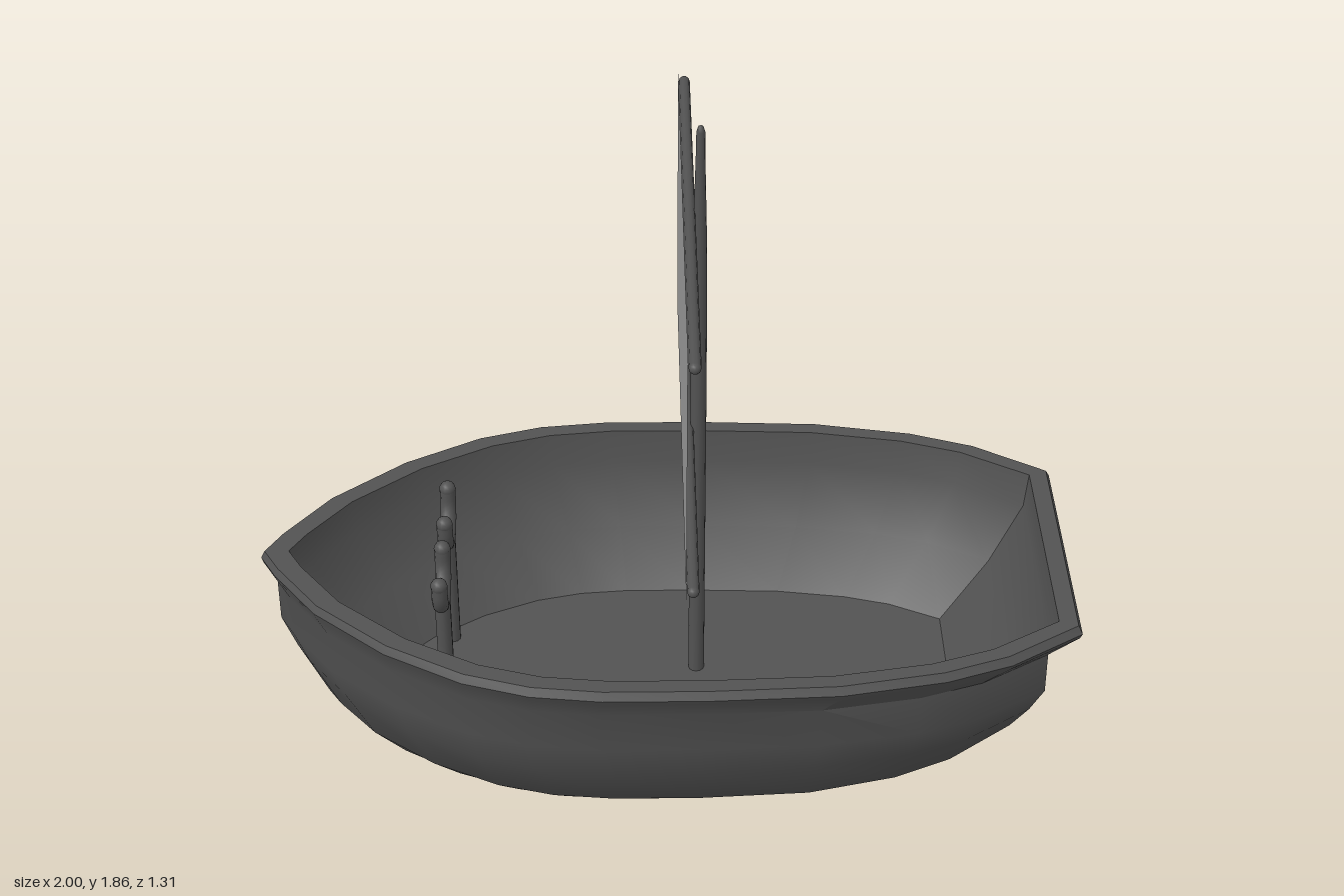
import * as THREE from 'three';
import { toCreasedNormals } from 'three/addons/utils/BufferGeometryUtils.js';

const wood = new THREE.MeshStandardMaterial({ name: 'dark wood', color: 0x525252 });
const cloth = new THREE.MeshStandardMaterial({ name: 'sail cloth', color: 0x999999, side: THREE.DoubleSide });

// Plan outline of the boat: [position from bow (-1) to stern (1), relative half width]
const OUTLINE = [
  [-1, 0], [-0.96, 0.13], [-0.85, 0.4], [-0.67, 0.68], [-0.48, 0.875], [-0.32, 0.965], [-0.15, 1],
  [0.1, 1], [0.41, 0.975], [0.66, 0.89], [0.82, 0.785], [1, 0.58],
];

// Hull rings from the floor's centre line, up over the rim and down to the keel:
// [half width, stern half width, bow x, stern x, bow y, middle y, stern y]
const RINGS = [
  [0, 0, -0.7, 0.725, 0.3, 0.3, 0.3],
  [0.315, 0.185, -0.7, 0.725, 0.3, 0.3, 0.3],
  [0.44, 0.25, -0.82, 0.85, 0.44, 0.42, 0.44],
  [0.5, 0.29, -0.92, 0.935, 0.59, 0.59, 0.59],
  [0.51, 0.3, -0.93, 0.945, 0.68, 0.68, 0.68],
  [0.55, 0.318, -0.99, 0.99, 0.68, 0.68, 0.68],
  [0.562, 0.326, -1, 1, 0.66, 0.66, 0.66],
  [0.555, 0.322, -0.995, 0.995, 0.645, 0.645, 0.645],
  [0.522, 0.31, -0.965, 0.925, 0.585, 0.585, 0.585],
  [0.515, 0.315, -0.965, 0.925, 0.47, 0.47, 0.475],
  [0.485, 0.295, -0.93, 0.895, 0.38, 0.37, 0.4],
  [0.41, 0.24, -0.86, 0.86, 0.23, 0.22, 0.3],
  [0.29, 0.14, -0.78, 0.8, 0.13, 0.11, 0.2],
  [0, 0, -0.66, 0.77, 0.06, 0.002, 0.15],
];

function ringPoints([w, sternW, x0, x1, yBow, yMid, yStern]) {
  const side = OUTLINE.map(([u, f]) => {
    const aft = Math.max(0, u) ** 3, fore = Math.max(0, -u) ** 3;
    const taper = w ? 1 + (sternW / (w * 0.58) - 1) * aft : 0;
    return new THREE.Vector3(
      x0 + (x1 - x0) * (u + 1) / 2,
      yMid + (yBow - yMid) * fore + (yStern - yMid) * aft,
      w * f * taper,
    );
  });
  const mirrored = side.slice(1).map((p) => new THREE.Vector3(p.x, p.y, -p.z));
  return [...side.reverse(), ...mirrored];
}

// Closed rings joined in order; the closing strip forms the transom
function hullGeometry() {
  const rings = RINGS.map(ringPoints);
  const pos = [];
  const face = (...pts) => {
    if (new THREE.Triangle(...pts).getArea() > 1e-7) pts.forEach((p) => pos.push(p.x, p.y, p.z));
  };
  for (let j = 0; j < rings.length - 1; j++) {
    const n = rings[j].length;
    for (let i = 0; i < n; i++) {
      const k = (i + 1) % n;
      const a = rings[j][i], b = rings[j][k], c = rings[j + 1][k], d = rings[j + 1][i];
      face(a, b, d);
      face(b, c, d);
    }
  }
  const g = new THREE.BufferGeometry();
  g.setAttribute('position', new THREE.Float32BufferAttribute(pos, 3));
  return toCreasedNormals(g, 0.5);
}

export function createModel() {
  const boat = new THREE.Group();
  boat.name = 'sailingBoat';

  const add = (name, geometry, material, x = 0, y = 0, z = 0, parent = boat) => {
    const mesh = new THREE.Mesh(geometry, material);
    mesh.name = name;
    mesh.position.set(x, y, z);
    parent.add(mesh);
    return mesh;
  };

  add('hull', hullGeometry(), wood);

  // Mast, tapering near the top
  const mastProfile = [[0.02, 0.3], [0.019, 1.2], [0.017, 1.55], [0.011, 1.78], [0.01, 1.85], [0.006, 1.863], [0, 1.866]];
  add('mast', new THREE.LatheGeometry(mastProfile.map(([r, y]) => new THREE.Vector2(r, y)), 12), wood, 0.083);

  // Yards carrying the square sail
  for (const [name, y] of [['upperYard', 1.64], ['lowerYard', 1.045]]) {
    const yard = add(name, new THREE.CapsuleGeometry(0.014, 1.28, 4, 10), wood, 0.058, y, 0);
    yard.rotation.x = Math.PI / 2;
  }
  const sail = add('sail', new THREE.PlaneGeometry(1.275, 0.67), cloth, 0.043, 1.34, 0);
  sail.rotation.y = Math.PI / 2;

  // Forked rests standing near the bow
  for (const side of [1, -1]) {
    const rest = new THREE.Group();
    rest.name = side > 0 ? 'leftForkedRest' : 'rightForkedRest';
    rest.position.set(-0.545, 0, side * 0.125);
    boat.add(rest);
    add('post', new THREE.CylinderGeometry(0.02, 0.02, 0.34, 10), wood, 0, 0.46, 0, rest);
    const path = [[-0.075, 0.722], [-0.07, 0.675], [-0.045, 0.64], [0, 0.625], [0.045, 0.64], [0.07, 0.675], [0.075, 0.722]];
    const curve = new THREE.CatmullRomCurve3(path.map(([z, y]) => new THREE.Vector3(0, y, z)));
    add('fork', new THREE.TubeGeometry(curve, 20, 0.02, 10), wood, 0, 0, 0, rest);
    for (const z of [-0.075, 0.075]) add('forkTip', new THREE.SphereGeometry(0.021, 10, 8), wood, 0, 0.722, z, rest);
  }
  return boat;
}
